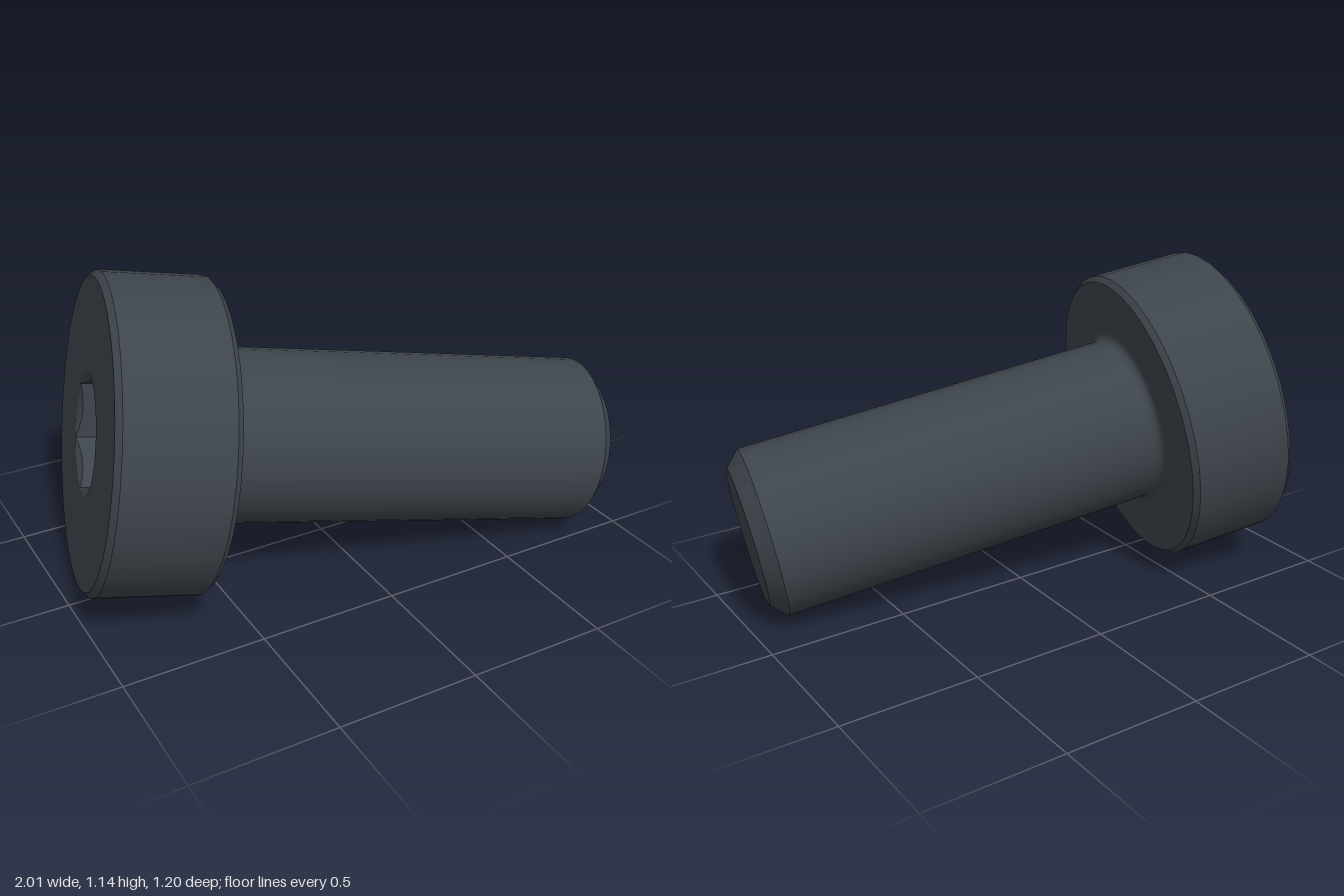
import * as THREE from 'three';

const SEGMENTS = 36;
const OPENING = 0.208;

// One smooth band of revolution; bands meet at sharp edges
function band(points) {
  return new THREE.LatheGeometry(points.map(([r, y]) => new THREE.Vector2(r, y)), SEGMENTS);
}

// Hexagonal recess: conical lead-in, six flat walls, flat floor
function socketGeometry(corner, depth) {
  const hexRadius = (a) => corner * Math.cos(Math.PI / 6) / Math.cos((a % (Math.PI / 3)) - Math.PI / 6);
  const point = (ring, i) => {
    const a = ((i % SEGMENTS) / SEGMENTS) * Math.PI * 2 + 1e-9;
    const h = hexRadius(a);
    const r = [OPENING, h, h, 0][ring];
    const y = [0, (OPENING - h) * 0.58, depth, depth][ring];
    return [r * Math.sin(a), y, r * Math.cos(a)];
  };
  const pos = [];
  for (let ring = 0; ring < 3; ring++) {
    for (let i = 0; i < SEGMENTS; i++) {
      const a = point(ring, i), b = point(ring, i + 1);
      const c = point(ring + 1, i), d = point(ring + 1, i + 1);
      pos.push(...a, ...c, ...b);
      if (ring < 2) pos.push(...b, ...c, ...d);
    }
  }
  const geo = new THREE.BufferGeometry();
  geo.setAttribute('position', new THREE.Float32BufferAttribute(pos, 3));
  geo.computeVertexNormals();
  return geo;
}

export function createModel() {
  const steel = new THREE.MeshStandardMaterial({ color: 0x3d444b });
  steel.name = 'dark steel';

  const bolt = new THREE.Group();
  bolt.name = 'bolt';
  const add = (name, geo) => {
    const mesh = new THREE.Mesh(geo, steel);
    mesh.name = name;
    bolt.add(mesh);
  };

  // Fillet between the head and the shank
  const fillet = [];
  for (let i = 0; i <= 5; i++) {
    const a = (i / 5) * Math.PI / 2;
    fillet.push([0.336 - 0.03 * Math.sin(a), 0.425 - 0.03 * Math.cos(a)]);
  }

  // Head
  add('headFace', band([[OPENING, 0], [0.527, 0]]));
  add('headTopChamfer', band([[0.527, 0], [0.547, 0.02]]));
  add('headSide', band([[0.547, 0.02], [0.547, 0.375]]));
  add('headLowerChamfer', band([[0.547, 0.375], [0.53, 0.395]]));
  add('headUnderside', band([[0.53, 0.395], [0.336, 0.395]]));
  add('hexSocket', socketGeometry(0.205, 0.24));

  // Shank
  add('shankFillet', band(fillet));
  add('shank', band([[0.306, 0.425], [0.306, 1.812]]));
  add('tipChamfer', band([[0.306, 1.812], [0.25, 1.866]]));
  add('tipFace', band([[0.25, 1.866], [0, 1.866]]));

  // Lay the bolt along its tilted axis, with a socket corner pointing up
  const axis = new THREE.Vector3(0.9643, -0.167, 0.206).normalize();
  const up = new THREE.Vector3(0, 1, 0).addScaledVector(axis, -axis.y).normalize();
  const side = new THREE.Vector3().crossVectors(axis, up);
  bolt.quaternion.setFromRotationMatrix(new THREE.Matrix4().makeBasis(side, axis, up));
  bolt.position.set(-0.865, 0.608, -0.069);

  const model = new THREE.Group();
  model.name = 'socketHeadBolt';
  model.add(bolt);
  return model;
}
